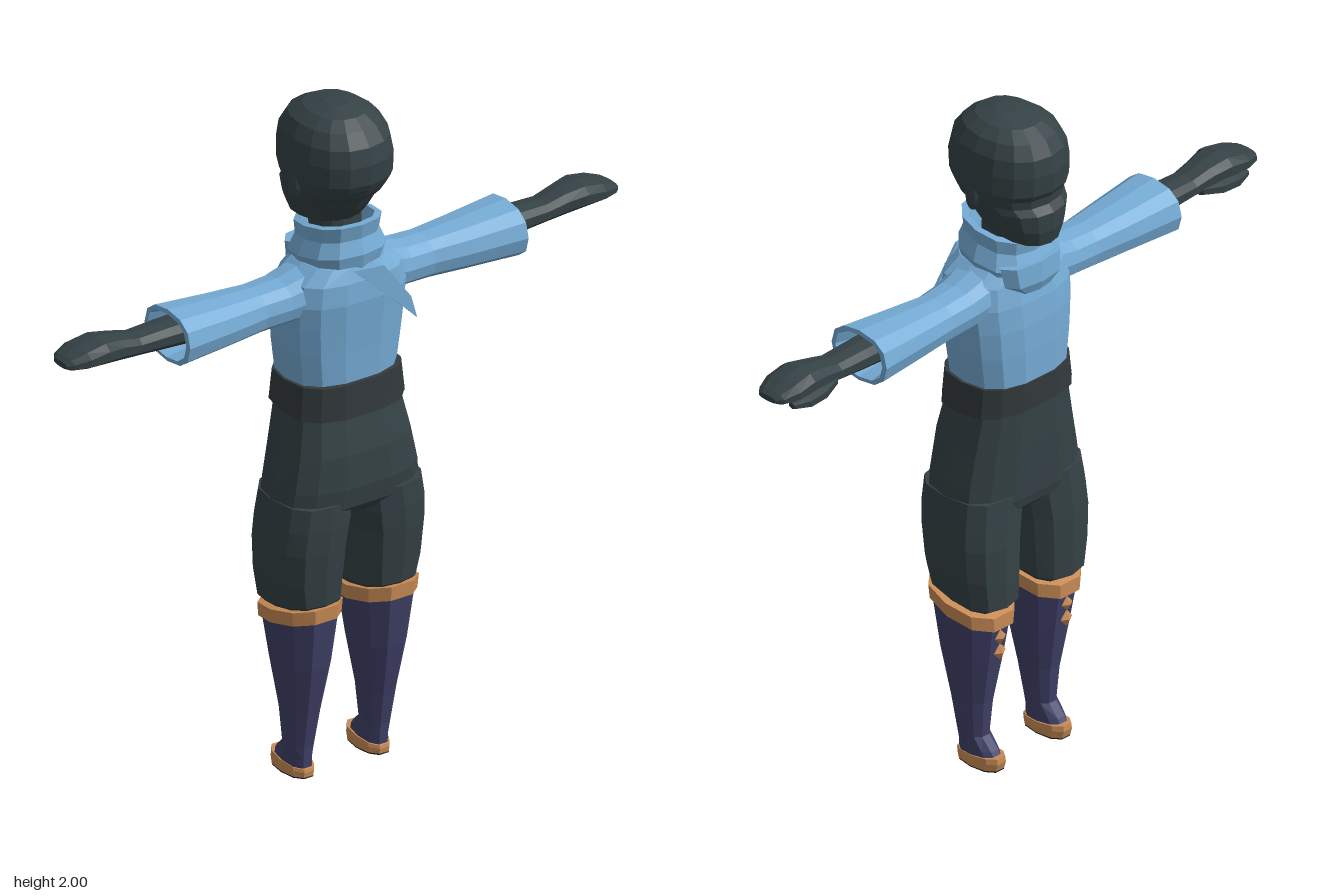
import * as THREE from 'three';

const mat = (name, color, side = THREE.FrontSide) =>
  new THREE.MeshStandardMaterial({ name, color, side, flatShading: true });

// Loft through rings [h, aMin, aMax, bMin, bMax, tilt]. Upright: h=y, a=x, b=z. Sideways: h=x, a=y, b=z.
function loft(rings, { sides = 14, power = 0.85, sideways = false, capStart = true, capEnd = true } = {}) {
  const pos = [], idx = [];
  const put = (h, a, b) => pos.push(...(sideways ? [h, a, b] : [a, h, b]));
  const tri = (a, b, c) => (sideways ? idx.push(a, c, b) : idx.push(a, b, c));
  const soft = (v) => Math.sign(v) * Math.abs(v) ** power;
  for (const [h, a0, a1, b0, b1, tilt = 0] of rings) {
    for (let i = 0; i < sides; i++) {
      const t = (i / sides) * Math.PI * 2;
      const b = (b0 + b1) / 2 + ((b1 - b0) / 2) * soft(Math.sin(t));
      put(h + tilt * b, (a0 + a1) / 2 + ((a1 - a0) / 2) * soft(Math.cos(t)), b);
    }
  }
  for (let j = 0; j < rings.length - 1; j++) {
    for (let i = 0; i < sides; i++) {
      const k = (i + 1) % sides, p = j * sides, q = p + sides;
      tri(p + i, q + i, p + k);
      tri(q + i, q + k, p + k);
    }
  }
  const cap = (j, up) => {
    const [h, a0, a1, b0, b1, tilt = 0] = rings[j];
    const c = pos.length / 3, bm = (b0 + b1) / 2;
    put(h + tilt * bm, (a0 + a1) / 2, bm);
    for (let i = 0; i < sides; i++) {
      const p = j * sides + i, q = j * sides + ((i + 1) % sides);
      if (up) tri(c, q, p); else tri(c, p, q);
    }
  };
  if (capStart) cap(0, false);
  if (capEnd) cap(rings.length - 1, true);
  const g = new THREE.BufferGeometry();
  g.setAttribute('position', new THREE.Float32BufferAttribute(pos, 3));
  g.setIndex(idx);
  const flat = g.toNonIndexed();
  flat.computeVertexNormals();
  return flat;
}

// Mirror across x, swapping two corners of each face to keep it outward
function mirrored(geo) {
  const g = geo.index ? geo.toNonIndexed() : geo.clone();
  const p = g.attributes.position;
  const v = new THREE.Vector3(), w = new THREE.Vector3();
  for (let i = 0; i < p.count; i += 3) {
    v.fromBufferAttribute(p, i + 1);
    w.fromBufferAttribute(p, i + 2);
    p.setX(i, -p.getX(i));
    p.setXYZ(i + 1, -w.x, w.y, w.z);
    p.setXYZ(i + 2, -v.x, v.y, v.z);
  }
  g.computeVertexNormals();
  return g;
}

export function createModel() {
  const model = new THREE.Group();
  model.name = 'figure';
  const charcoal = mat('charcoal cloth', 0x354246);
  const belt = mat('belt', 0x32393c);
  const blue = mat('blue shirt', 0x76acd6, THREE.DoubleSide);
  const navy = mat('navy boots', 0x404069);
  const tan = mat('tan trim', 0xc98c55);
  const black = mat('black sole', 0x171c1e);

  const add = (name, geo, m, parent = model) => {
    const mesh = new THREE.Mesh(geo, m);
    mesh.name = name;
    parent.add(mesh);
    return mesh;
  };
  const pair = (name, geo, m, parent) => {
    add(name + 'Left', geo, m, parent);
    add(name + 'Right', mirrored(geo), m, parent);
  };
  const sym = (h, r, z0, z1, tilt) => [h, -r, r, z0, z1, tilt];

  // Head, face towards -z, with a notch at the eyes
  add('head', loft([
    sym(1.645, 0.05, -0.135, 0.02, 0.12), sym(1.66, 0.085, -0.16, 0.07, 0.1),
    sym(1.7, 0.106, -0.172, 0.1, 0.05), sym(1.745, 0.122, -0.172, 0.125),
    sym(1.765, 0.132, -0.153, 0.145), sym(1.79, 0.14, -0.155, 0.16),
    sym(1.81, 0.145, -0.168, 0.17), sym(1.87, 0.144, -0.172, 0.176),
    sym(1.92, 0.136, -0.165, 0.165), sym(1.96, 0.115, -0.14, 0.135),
    sym(1.985, 0.08, -0.095, 0.1), sym(2, 0.03, -0.02, 0.045),
  ], { sides: 16, power: 0.9 }), charcoal);
  pair('ear', new THREE.SphereGeometry(1, 8, 6).scale(0.01, 0.045, 0.026).translate(0.137, 1.78, 0.005), charcoal);
  add('neck', loft([sym(1.52, 0.07, -0.06, 0.08), sym(1.68, 0.07, -0.07, 0.07)]), charcoal);

  // Shirt body and folded collar
  add('shirt', loft([
    sym(1.19, 0.165, -0.122, 0.132), sym(1.3, 0.18, -0.124, 0.138),
    sym(1.38, 0.187, -0.122, 0.144), sym(1.45, 0.19, -0.115, 0.15),
    sym(1.51, 0.175, -0.1, 0.145), sym(1.55, 0.12, -0.09, 0.13),
  ], { power: 0.75 }), blue);
  add('collar', loft([
    sym(1.525, 0.115, -0.115, 0.13, 0.1), sym(1.565, 0.128, -0.122, 0.14, 0.15),
    sym(1.61, 0.108, -0.1, 0.125, 0.15), sym(1.652, 0.112, -0.105, 0.135, 0.17),
    sym(1.655, 0.095, -0.085, 0.115, 0.17), sym(1.59, 0.08, -0.075, 0.1, 0.15),
  ], { sides: 12, capStart: false, capEnd: false }), blue);
  add('collarFold', loft([
    [1.48, -0.06, 0.06, -0.118, -0.06], [1.51, -0.1, 0.1, -0.13, -0.04], [1.57, -0.11, 0.11, -0.125, -0.03],
  ], { sides: 8 }), blue);

  // Diagonal wrap edge across the back
  const wrap = new THREE.Shape([[-0.04, 1.55], [0.06, 1.54], [0.15, 1.42], [0.17, 1.35], [0.13, 1.39]]
    .map(([x, y]) => new THREE.Vector2(x, y)));
  add('wrapFold', new THREE.ExtrudeGeometry(wrap, { depth: 0.008, bevelEnabled: false }), blue).position.z = 0.14;

  // Arms: flared open sleeves, forearms, hands and hanging thumbs
  const arms = new THREE.Group();
  arms.name = 'arms';
  arms.rotation.y = 0.012;
  model.add(arms);
  pair('sleeve', loft([
    [0.08, 1.4, 1.555, -0.08, 0.11], [0.2, 1.395, 1.52, -0.07, 0.09],
    [0.28, 1.39, 1.515, -0.068, 0.082], [0.4, 1.385, 1.522, -0.08, 0.098],
    [0.565, 1.378, 1.535, -0.095, 0.116], [0.567, 1.39, 1.523, -0.08, 0.1],
    [0.46, 1.405, 1.505, -0.06, 0.075], [0.42, 1.425, 1.49, -0.04, 0.05],
  ], { sides: 12, sideways: true, capStart: false }), blue, arms);
  pair('hand', loft([
    [0.42, 1.42, 1.505, -0.045, 0.065], [0.58, 1.43, 1.502, -0.045, 0.06],
    [0.68, 1.437, 1.498, -0.042, 0.057], [0.74, 1.442, 1.513, -0.048, 0.062],
    [0.8, 1.45, 1.523, -0.06, 0.075], [0.86, 1.453, 1.51, -0.062, 0.072],
    [0.905, 1.458, 1.493, -0.045, 0.055], [0.92, 1.465, 1.483, -0.025, 0.04],
  ], { sides: 10, sideways: true }), charcoal, arms);
  pair('thumb', loft([
    [0.7, 1.44, 1.47, -0.045, -0.01], [0.76, 1.428, 1.465, -0.065, -0.02],
    [0.82, 1.426, 1.46, -0.066, -0.025], [0.87, 1.437, 1.455, -0.05, -0.025],
  ], { sides: 6, sideways: true }), charcoal, arms);

  // Belt
  add('belt', loft([
    sym(1.112, 0.165, -0.115, 0.13, -0.06), sym(1.113, 0.185, -0.126, 0.147, -0.06),
    sym(1.205, 0.174, -0.124, 0.143), sym(1.207, 0.155, -0.11, 0.125),
  ], { power: 0.7 }), belt);

  // Baggy trousers: hips and two legs
  add('trouserHips', loft([
    sym(0.775, 0.075, -0.07, 0.08), sym(0.81, 0.2, -0.108, 0.135), sym(0.84, 0.226, -0.114, 0.157),
    sym(0.9, 0.217, -0.115, 0.165), sym(1, 0.196, -0.117, 0.16), sym(1.13, 0.168, -0.118, 0.135),
  ], { power: 0.7 }), charcoal);
  pair('trouserLeg', loft([
    [0.52, 0.045, 0.2, -0.09, 0.12, 0.15], [0.54, 0.03, 0.218, -0.118, 0.138, 0.12],
    [0.62, 0.024, 0.234, -0.12, 0.145], [0.72, 0.018, 0.24, -0.12, 0.155],
    [0.79, 0.006, 0.236, -0.116, 0.16], [0.86, 0, 0.224, -0.112, 0.16],
  ], { sides: 12, power: 0.75 }), charcoal);

  // Boots with sloping cuffs, knee studs and trimmed soles
  const boots = new THREE.Group();
  boots.name = 'boots';
  model.add(boots);
  pair('boot', loft([
    [0.03, 0.088, 0.163, -0.092, 0.055], [0.055, 0.09, 0.162, -0.075, 0.056],
    [0.09, 0.09, 0.163, -0.04, 0.058], [0.2, 0.078, 0.174, -0.05, 0.08],
    [0.35, 0.054, 0.197, -0.08, 0.113], [0.5, 0.036, 0.216, -0.104, 0.138, 0.16],
  ], { sides: 10 }), navy, boots);
  pair('cuff', loft([
    [0.478, 0.045, 0.208, -0.09, 0.125, 0.2], [0.48, 0.029, 0.222, -0.112, 0.144, 0.2],
    [0.522, 0.026, 0.226, -0.112, 0.147, 0.2], [0.524, 0.045, 0.208, -0.09, 0.125, 0.2],
  ], { sides: 10 }), tan, boots);
  const stud = (y, r, z) => new THREE.OctahedronGeometry(1).scale(r, r * 1.2, 0.014).translate(0.126, y, z);
  pair('kneeStudUpper', stud(0.425, 0.02, -0.094), tan, boots);
  pair('kneeStudLower', stud(0.378, 0.022, -0.092), tan, boots);
  pair('soleTrim', loft([
    [0.004, 0.083, 0.167, -0.095, 0.06], [0.022, 0.083, 0.167, -0.102, 0.062, -0.05],
    [0.034, 0.085, 0.165, -0.1, 0.06, -0.1], [0.035, 0.095, 0.155, -0.085, 0.05, -0.1],
  ], { sides: 10 }), tan, boots);
  pair('soleBottom', loft([
    [0, 0.084, 0.166, -0.094, 0.059], [0.005, 0.083, 0.167, -0.095, 0.06],
  ], { sides: 10 }), black, boots);

  return model;
}
